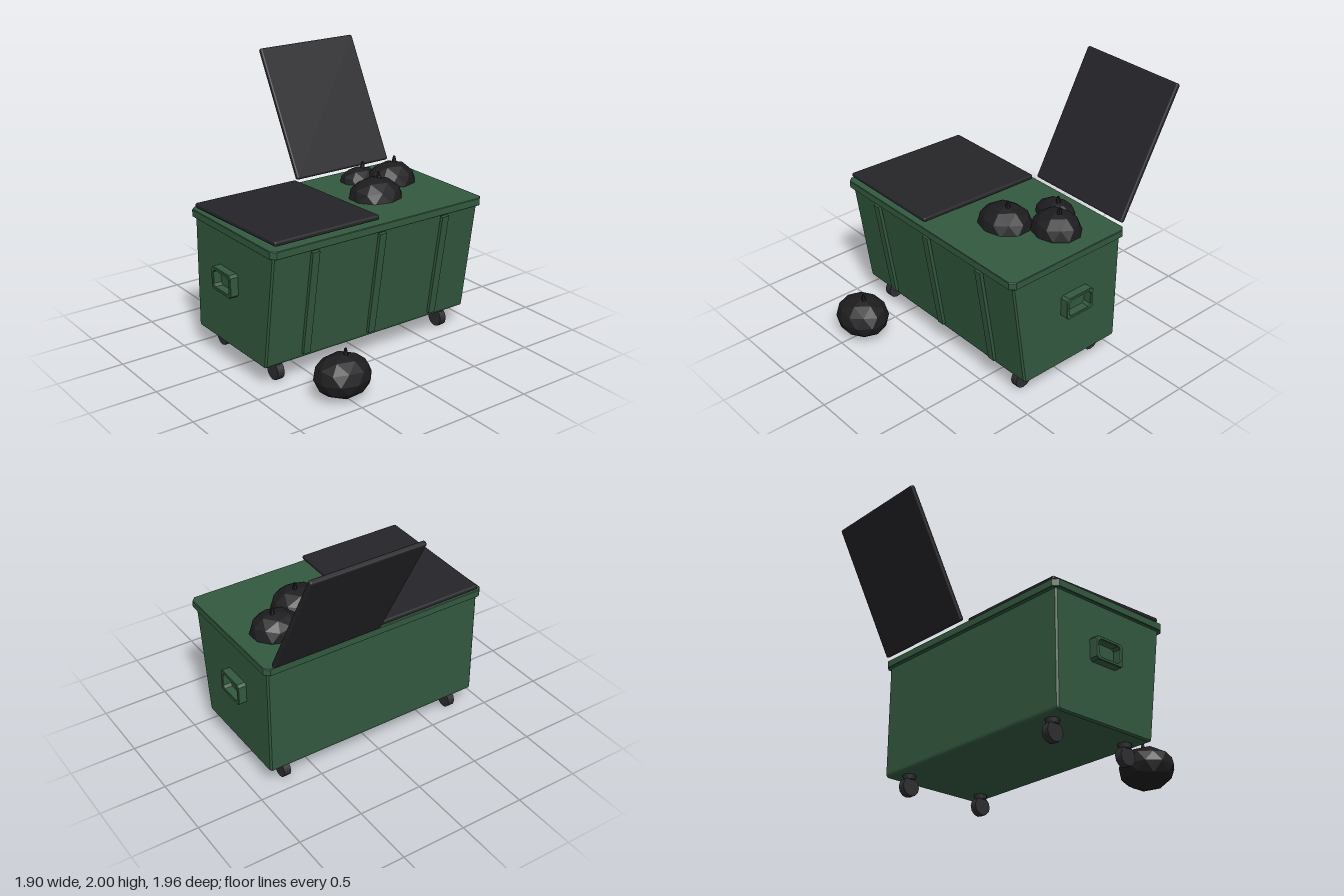
import * as THREE from 'three';
import { RoundedBoxGeometry } from 'three/addons/geometries/RoundedBoxGeometry.js';

const green = new THREE.MeshStandardMaterial({ color: 0x33593f });
const lidBlack = new THREE.MeshStandardMaterial({ color: 0x252529 });
const bagBlack = new THREE.MeshStandardMaterial({ color: 0x1d1d1f, flatShading: true });
const rubber = new THREE.MeshStandardMaterial({ color: 0x2e2e31 });

function add(parent, name, geometry, material, x = 0, y = 0, z = 0) {
  const mesh = new THREE.Mesh(geometry, material);
  mesh.name = name;
  mesh.position.set(x, y, z);
  parent.add(mesh);
  return mesh;
}

// Rectangle with cut corners, centred on (cx, cy)
function cutRect(cx, cy, w, h, c) {
  const a = w / 2, b = h / 2;
  return [[-a + c, -b], [a - c, -b], [a, -b + c], [a, b - c], [a - c, b], [-a + c, b], [-a, b - c], [-a, -b + c]]
    .map(([x, y]) => new THREE.Vector2(cx + x, cy + y));
}

// Extrusion with a small chamfer kept inside the outline, centred in depth
function slab(shape, depth, bevel) {
  return new THREE.ExtrudeGeometry(shape, {
    depth: depth - 2 * bevel, bevelEnabled: true, bevelThickness: bevel,
    bevelSize: bevel, bevelOffset: -bevel, bevelSegments: 1, curveSegments: 4,
  }).translate(0, 0, -depth / 2 + bevel);
}

// Squashed faceted bag with a small tied knot
function addBag(parent, name, [x, y, z], [rx, ry, rz]) {
  const bag = new THREE.Group();
  bag.name = name;
  bag.position.set(x, y, z);
  const ball = new THREE.IcosahedronGeometry(1, 1);
  ball.rotateZ(-Math.atan(2 / (1 + Math.sqrt(5)))); // one corner straight up
  ball.scale(rx, ry, rz);
  add(bag, 'bagBody', ball, bagBlack);
  add(bag, 'bagKnot', new THREE.CylinderGeometry(0.008, 0.022, 0.06, 8), bagBlack, 0.025, ry + 0.008, 0);
  parent.add(bag);
}

export function createModel() {
  const model = new THREE.Group();
  model.name = 'wheeledWasteBin';

  // Bin body: side profile with sloping front and rounded bottom edges
  const side = new THREE.Shape();
  side.moveTo(0.45, 1.03);
  side.lineTo(-0.55, 1.03);
  side.lineTo(-0.43, 0.19);
  side.quadraticCurveTo(-0.425, 0.16, -0.395, 0.16);
  side.lineTo(0.42, 0.16);
  side.quadraticCurveTo(0.45, 0.16, 0.45, 0.19);
  side.closePath();
  add(model, 'binBody', slab(side, 1.775, 0.012).rotateY(Math.PI / 2), green);

  // Rim closing the top
  const rim = new THREE.Shape(cutRect(0, -0.05, 1.83, 1.06, 0.035));
  add(model, 'rim', slab(rim, 0.057, 0.004).rotateX(-Math.PI / 2), green, 0, 1.042, 0);

  // Front ribs
  for (const x of [-0.563, 0, 0.563]) {
    const rib = add(model, 'frontRib', new THREE.BoxGeometry(0.058, 0.805, 0.025), green, x, 0.6, 0.504);
    rib.rotation.x = 0.155;
  }

  // Side handles: open frames
  const frame = new THREE.Shape(cutRect(0.022, 0.665, 0.25, 0.172, 0.018));
  frame.holes.push(new THREE.Path(cutRect(0.022, 0.665, 0.198, 0.125, 0.018).reverse()));
  for (const s of [-1, 1]) {
    add(model, s > 0 ? 'leftHandle' : 'rightHandle', slab(frame, 0.07, 0.004).rotateY(Math.PI / 2), green, s * 0.916, 0, 0);
  }

  // Lids: right one closed, left one swung open behind
  const closed = add(model, 'closedLid', new RoundedBoxGeometry(0.86, 0.036, 1.025, 2, 0.014), lidBlack, -0.45, 1.1, 0.047);
  closed.rotation.x = -0.028;
  const open = add(model, 'openLid', new RoundedBoxGeometry(0.86, 1.03, 0.038, 2, 0.014), lidBlack, 0.44, 1.545, -0.728);
  open.rotation.x = -0.488;

  // Casters
  for (const x of [-0.735, 0.735]) {
    for (const z of [0.322, -0.35]) {
      add(model, 'casterMount', new THREE.CylinderGeometry(0.052, 0.043, 0.04, 12), rubber, x, 0.147, z);
      add(model, 'casterWheel', new THREE.CylinderGeometry(0.07, 0.07, 0.054, 12).rotateZ(Math.PI / 2), rubber, x, 0.073, z);
    }
  }

  // Bags in the bin and one on the ground
  addBag(model, 'largeBag', [0.302, 1.06, 0.098], [0.211, 0.152, 0.188]);
  addBag(model, 'mediumBag', [0.608, 1.075, -0.103], [0.193, 0.148, 0.172]);
  addBag(model, 'smallBag', [0.432, 1.05, -0.263], [0.166, 0.12, 0.135]);
  addBag(model, 'groundBag', [-0.508, 0.161, 0.792], [0.212, 0.155, 0.188]);

  return model;
}
